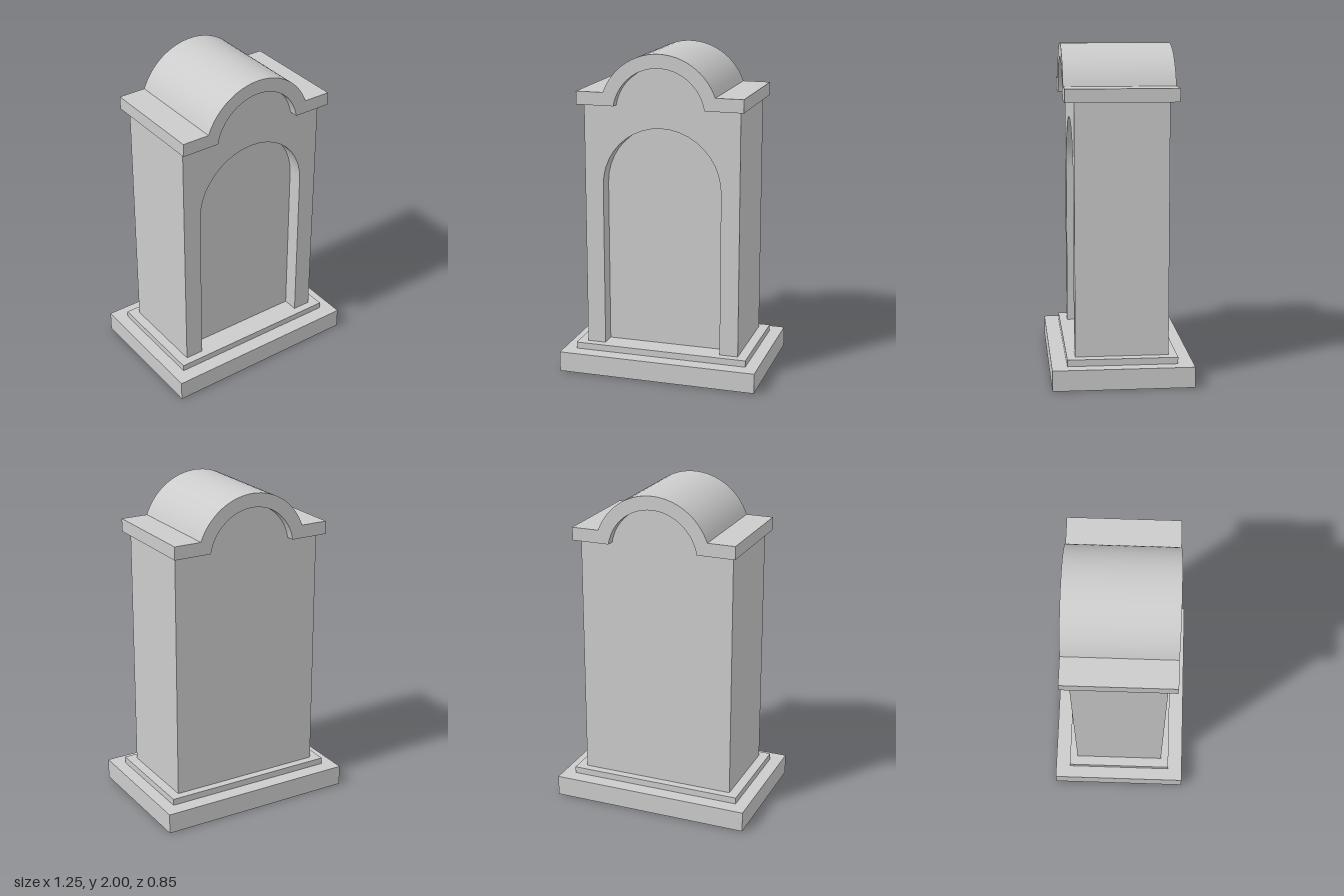
import * as THREE from 'three';
import { toCreasedNormals } from 'three/addons/utils/BufferGeometryUtils.js';

const BODY = { x: 0.485, z: 0.28, bottom: 0.165, top: 1.68 };
const NICHE = { r: 0.37, spring: 1.18, z: 0.185 };
const ROOF = { x: 0.515, z: 0.335, cy: 1.632, outer: 0.368, inner: 0.284, slabTop: 1.76 };

const material = new THREE.MeshStandardMaterial({ color: 0xcccccc, side: THREE.DoubleSide });

function mesh(name, geometry) {
  const m = new THREE.Mesh(geometry, material);
  m.name = name;
  return m;
}

// Builds a geometry from quads, each a list of four corners
function quads(list) {
  const pos = list.flatMap(([a, b, c, d]) => [a, b, c, a, c, d].flat());
  const g = new THREE.BufferGeometry();
  g.setAttribute('position', new THREE.Float32BufferAttribute(pos, 3));
  return toCreasedNormals(g, 0.5);
}

// Sweeps an xy path along z
function ribbon(path, z0, z1) {
  return quads(path.slice(1).map((q, i) => {
    const p = path[i];
    return [[p.x, p.y, z0], [q.x, q.y, z0], [q.x, q.y, z1], [p.x, p.y, z1]];
  }));
}

// Flat plate facing +z, or -z when flipped
function plate(points, z, flip = false) {
  const g = new THREE.ShapeGeometry(new THREE.Shape(points));
  if (flip) g.rotateY(Math.PI);
  return g.translate(0, 0, z);
}

// Points of an arc over x = 0, from left to right, ending at height endY
function arch(cy, r, endY, n) {
  const start = Math.asin((endY - cy) / r);
  return Array.from({ length: n + 1 }, (_, i) => {
    const a = Math.PI - start - (Math.PI - 2 * start) * i / n;
    return new THREE.Vector2(r * Math.cos(a), cy + r * Math.sin(a));
  });
}

export function createModel() {
  const group = new THREE.Group();
  const v = (x, y) => new THREE.Vector2(x, y);

  // Stepped plinth: hollow, open below, rising to the body's footprint
  const rings = [
    [0.6225, 0, 0.4225], [0.6225, 0.125, 0.4225],
    [0.545, 0.125, 0.33], [0.545, BODY.bottom, 0.33],
    [BODY.x, BODY.bottom, BODY.z],
  ].map(([x, y, z]) => [[x, y, z], [x, y, -z], [-x, y, -z], [-x, y, z]]);
  const steps = [];
  for (let r = 0; r < rings.length - 1; r++) {
    for (let i = 0; i < 4; i++) {
      const j = (i + 1) % 4;
      steps.push([rings[r][i], rings[r][j], rings[r + 1][j], rings[r + 1][i]]);
    }
  }
  group.add(mesh('plinth', quads(steps)));

  // Body walls, with front and back reaching up into the roof arch
  const crown = arch(ROOF.cy, ROOF.inner, BODY.top, 32);
  const upper = [v(-BODY.x, BODY.top), ...crown, v(BODY.x, BODY.top)];
  const foot = [v(BODY.x, BODY.bottom), v(-BODY.x, BODY.bottom)];
  const niche = [
    v(-NICHE.r, BODY.bottom),
    ...arch(NICHE.spring, NICHE.r, NICHE.spring, 20),
    v(NICHE.r, BODY.bottom),
  ];
  group.add(mesh('backWall', plate([...upper, ...foot], -BODY.z, true)));
  group.add(mesh('frontWall',
    plate([...upper, foot[0], ...niche.slice().reverse(), foot[1]], BODY.z)));
  for (const s of [1, -1]) {
    const wall = [v(s * BODY.x, BODY.bottom), v(s * BODY.x, BODY.top)];
    if (s < 0) wall.reverse();
    group.add(mesh(s > 0 ? 'leftWall' : 'rightWall', ribbon(wall, -BODY.z, BODY.z)));
  }

  // Arched niche: reveal, floor and recessed panel
  group.add(mesh('nicheReveal', ribbon(niche, NICHE.z, BODY.z)));
  group.add(mesh('nicheFloor', ribbon([niche.at(-1), niche[0]], NICHE.z, BODY.z)));
  group.add(mesh('nichePanel', plate(niche, NICHE.z)));

  // Roof: side slabs joined by a barrel arch
  const profile = [
    v(-ROOF.x, BODY.top), ...crown, v(ROOF.x, BODY.top), v(ROOF.x, ROOF.slabTop),
    ...arch(ROOF.cy, ROOF.outer, ROOF.slabTop, 32).reverse(), v(-ROOF.x, ROOF.slabTop),
  ];
  const roof = new THREE.ExtrudeGeometry(new THREE.Shape(profile),
    { depth: 2 * ROOF.z, bevelEnabled: false }).translate(0, 0, -ROOF.z);
  group.add(mesh('roof', toCreasedNormals(roof, 0.5)));

  return group;
}
